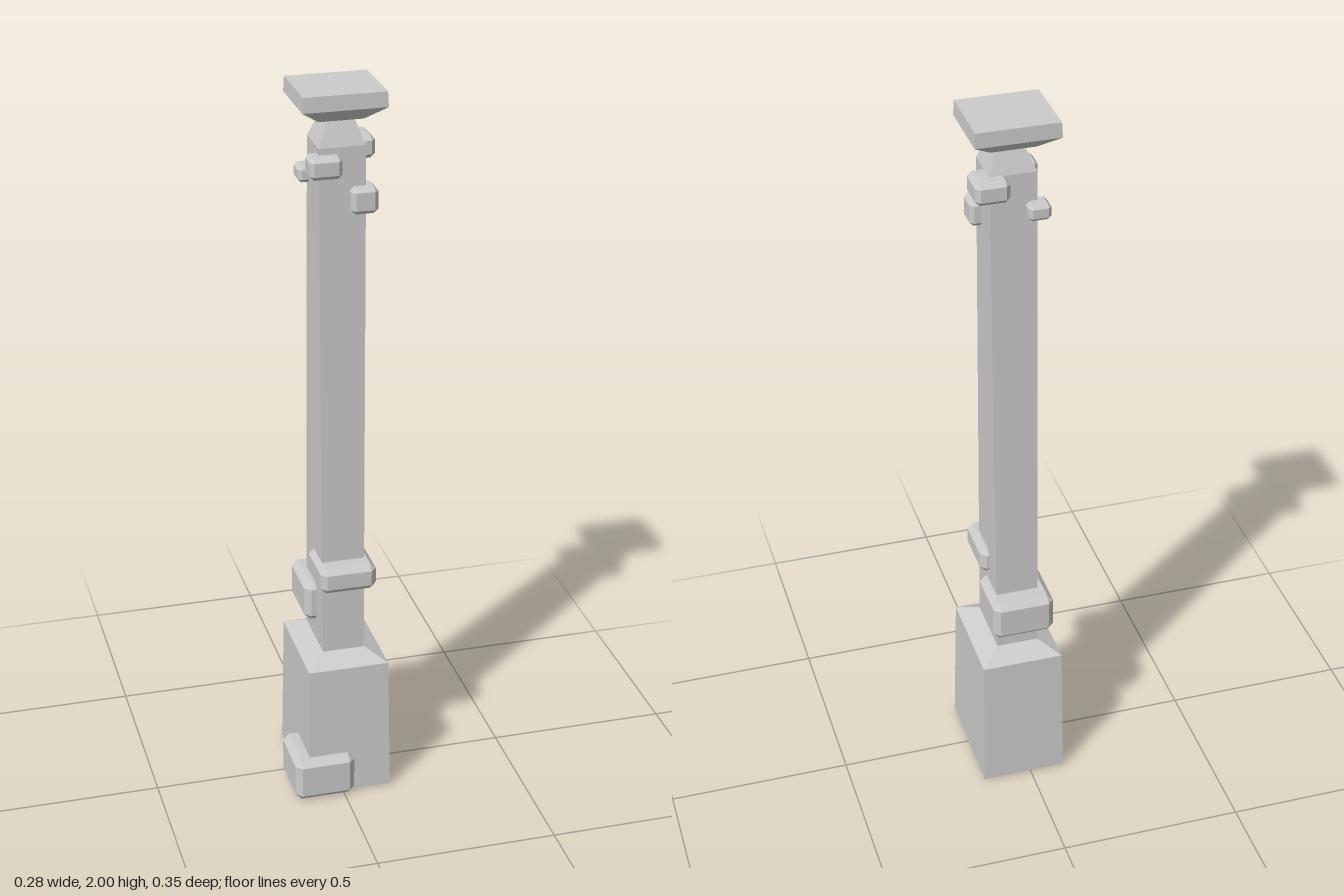
import * as THREE from 'three';
import { ConvexGeometry } from 'three/addons/geometries/ConvexGeometry.js';

const stone = new THREE.MeshStandardMaterial({ color: 0xcccccc, flatShading: true });

// Rectangular rings [y, xMin, xMax, zMin, zMax], bottom to top, joined and capped
function loft(rings) {
  const pos = [], index = [];
  for (const [y, x0, x1, z0, z1] of rings) {
    pos.push(x0, y, z1, x1, y, z1, x1, y, z0, x0, y, z0);
  }
  for (let r = 0; r < rings.length - 1; r++) {
    for (let i = 0; i < 4; i++) {
      const a = r * 4 + i, b = r * 4 + (i + 1) % 4;
      index.push(a, b, b + 4, a, b + 4, a + 4);
    }
  }
  const t = (rings.length - 1) * 4;
  index.push(0, 2, 1, 0, 3, 2, t, t + 1, t + 2, t, t + 2, t + 3);
  const g = new THREE.BufferGeometry();
  g.setAttribute('position', new THREE.Float32BufferAttribute(pos, 3));
  g.setIndex(index);
  const flat = g.toNonIndexed();
  flat.computeVertexNormals();
  return flat;
}

// Box with every edge and corner cut off by c
function chamferedBox(w, h, d, c) {
  const points = [];
  for (const sx of [-1, 1]) for (const sy of [-1, 1]) for (const sz of [-1, 1]) {
    for (let face = 0; face < 3; face++) {
      points.push(new THREE.Vector3(
        sx * (w / 2 - (face === 0 ? 0 : c)),
        sy * (h / 2 - (face === 1 ? 0 : c)),
        sz * (d / 2 - (face === 2 ? 0 : c))));
    }
  }
  return new ConvexGeometry(points);
}

export function createModel() {
  const model = new THREE.Group();
  model.name = 'stonePillar';
  const add = (name, geometry) => {
    const mesh = new THREE.Mesh(geometry, stone);
    mesh.name = name;
    model.add(mesh);
    return mesh;
  };

  // Tapered plinth with a sloping shoulder
  add('plinth', loft([
    [0.004, -0.097, 0.136, -0.174, 0.149],
    [0.39, -0.093, 0.131, -0.158, 0.135],
    [0.42, -0.04, 0.077, -0.103, 0.08],
  ]));

  // Shaft narrowing in depth, then drawn in to a neck
  add('shaft', loft([
    [0.41, -0.04, 0.076, -0.103, 0.08],
    [1.855, -0.042, 0.081, -0.068, 0.05],
    [1.925, -0.012, 0.055, -0.042, 0.024],
  ]));

  // Flared capital with a flat top
  add('capital', loft([
    [1.922, -0.04, 0.077, -0.067, 0.043],
    [1.96, -0.092, 0.129, -0.112, 0.085],
    [2.0, -0.09, 0.127, -0.11, 0.083],
  ]));

  // Protruding blocks: name, x range, y range, z range, chamfer
  const blocks = [
    ['plinthBlock', -0.139, 0.03, 0, 0.125, -0.005, 0.172, 0.017],
    ['lowerFrontBlock', -0.055, 0.1, 0.62, 0.695, -0.03, 0.126, 0.016],
    ['lowerBackBlock', -0.072, 0.098, 0.48, 0.595, -0.157, 0.013, 0.017],
    ['upperFrontBlock', -0.071, 0.015, 1.78, 1.838, 0.015, 0.081, 0.011],
    ['upperFrontLeftBlock', 0.038, 0.109, 1.68, 1.75, 0.008, 0.079, 0.011],
    ['upperBackLeftBlock', 0.035, 0.125, 1.796, 1.856, -0.106, -0.01, 0.012],
    ['upperBackRightBlock', -0.07, -0.012, 1.734, 1.777, -0.104, -0.046, 0.009],
  ];
  for (const [name, x0, x1, y0, y1, z0, z1, c] of blocks) {
    add(name, chamferedBox(x1 - x0, y1 - y0, z1 - z0, c))
      .position.set((x0 + x1) / 2, (y0 + y1) / 2, (z0 + z1) / 2);
  }
  return model;
}
